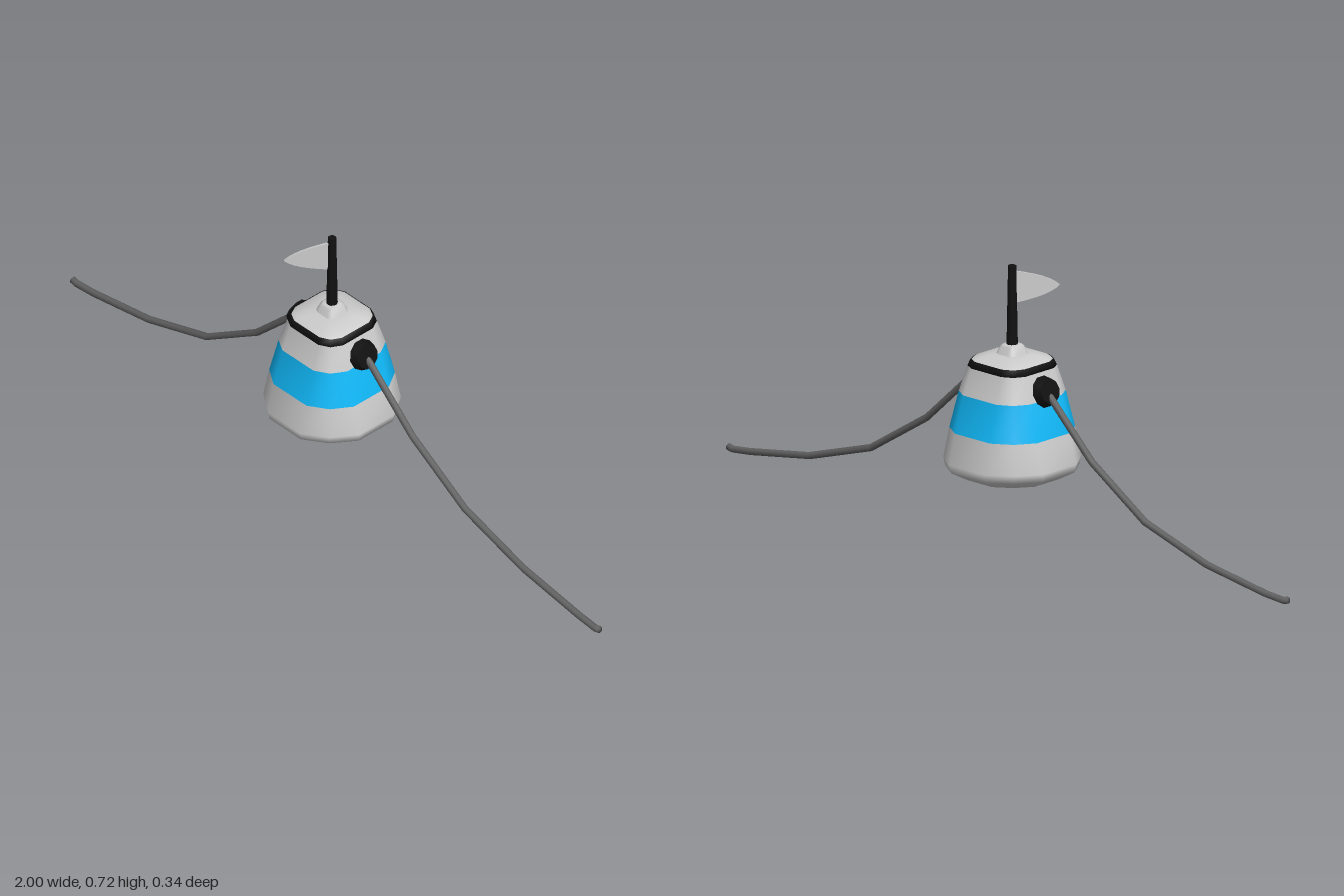
import * as THREE from 'three';

const mat = (color) => new THREE.MeshStandardMaterial({ color });
const grey = mat(0xcccccc), blue = mat(0x10b8f8), black = mat(0x111111), ropeGrey = mat(0x626262);
const CX = -0.015; // the body sits slightly off centre between its ropes

// Skin over a list of closed rings of points
function loft(rings) {
  const n = rings[0].length, index = [];
  for (let i = 0; i < rings.length - 1; i++) {
    for (let j = 0; j < n; j++) {
      const k = (j + 1) % n;
      const a = i * n + j, b = i * n + k, c = a + n, d = b + n;
      index.push(a, c, b, b, c, d);
    }
  }
  const g = new THREE.BufferGeometry().setFromPoints(rings.flat());
  g.setIndex(index);
  g.computeVertexNormals();
  return g;
}

// Twelve-sided rounded square, squarer towards the top
function bodyRing([half, y]) {
  const s = THREE.MathUtils.clamp((y - 0.2) / 0.26, 0, 1);
  const flat = half * (0.36 + 0.18 * s), corner = half * (0.74 + 0.1 * s);
  const ring = [];
  for (let q = 0; q < 4; q++) {
    const c = Math.round(Math.cos(q * Math.PI / 2)), n = Math.round(Math.sin(q * Math.PI / 2));
    for (const [x, z] of [[half, -flat], [half, flat], [corner, corner]]) {
      ring.push(new THREE.Vector3(CX + x * c - z * n, y, x * n + z * c));
    }
  }
  return ring;
}

// Round-sectioned rope along a path in the x-y plane
function ropeGeometry(path, radius, sides = 8) {
  const pts = path.map(([x, y]) => new THREE.Vector3(x, y, 0));
  const z = new THREE.Vector3(0, 0, 1);
  const rings = pts.map((p, i) => {
    const t = pts[Math.min(i + 1, pts.length - 1)].clone().sub(pts[Math.max(i - 1, 0)]).normalize();
    const v = z.clone().cross(t);
    return Array.from({ length: sides }, (_, j) => {
      const a = j / sides * Math.PI * 2;
      return p.clone().addScaledVector(z, radius * Math.cos(a)).addScaledVector(v, radius * Math.sin(a));
    });
  });
  const cap = (p) => Array.from({ length: sides }, () => p.clone());
  return loft([cap(pts[0]), ...rings, cap(pts[pts.length - 1])]);
}

export function createModel() {
  const model = new THREE.Group();
  const add = (name, geometry, material) => {
    const m = new THREE.Mesh(geometry, material);
    m.name = name;
    model.add(m);
    return m;
  };

  // Body sections as [half width, height], bottom to top
  const sections = [
    ['lowerHull', grey, [[0, 0.152], [0.065, 0.153], [0.122, 0.158], [0.166, 0.183], [0.17, 0.205], [0.149, 0.286]]],
    ['blueBand', blue, [[0.149, 0.286], [0.121, 0.384]]],
    ['upperHull', grey, [[0.121, 0.384], [0.098, 0.453]]],
    ['blackCollar', black, [[0.085, 0.453], [0.098, 0.453], [0.091, 0.47], [0.08, 0.47]]],
    ['topShoulder', grey, [[0.089, 0.47], [0.08, 0.476], [0.055, 0.484], [0.034, 0.486]]],
    ['mastBase', grey, [[0.035, 0.485], [0.026, 0.506], [0.02, 0.51], [0, 0.511]]],
  ];
  for (const [name, material, profile] of sections) add(name, loft(profile.map(bodyRing)), material);

  // Mast
  const mast = add('mast', new THREE.CylinderGeometry(0.011, 0.015, 0.215, 10), black);
  mast.position.set(CX, 0.615, 0);

  // Pointed pennant, swung forward and to the right
  const s = new THREE.Shape();
  s.moveTo(0, 0.709);
  s.quadraticCurveTo(0.1, 0.69, 0.126, 0.663);
  s.quadraticCurveTo(0.1, 0.635, 0, 0.62);
  s.closePath();
  const pennantGeometry = new THREE.ExtrudeGeometry(s, { depth: 0.006, bevelEnabled: false, curveSegments: 6 });
  pennantGeometry.translate(0, 0, -0.003);
  const pennant = add('pennant', pennantGeometry, grey);
  pennant.position.x = CX;
  pennant.rotation.y = Math.atan2(-0.83, -0.56);

  // Rope sockets, square to the sloping side walls
  for (const side of [-1, 1]) {
    const socket = add(side > 0 ? 'leftSocket' : 'rightSocket',
      new THREE.CylinderGeometry(0.034, 0.045, 0.03, 10), black);
    socket.position.set(CX + side * 0.122, 0.406, 0);
    socket.rotation.z = -side * (Math.PI / 2 - 0.28);
  }

  // Sagging ropes
  add('leftRope', ropeGeometry([[0.1, 0.412], [0.13, 0.392], [0.29, 0.245], [0.49, 0.12], [0.71, 0.051],
    [0.92, 0.017], [0.985, 0.01], [1, 0.014]], 0.0095), ropeGrey);
  add('rightRope', ropeGeometry([[-0.13, 0.412], [-0.16, 0.386], [-0.3, 0.25], [-0.49, 0.128], [-0.71, 0.06],
    [-0.92, 0.027], [-0.985, 0.022], [-1, 0.026]], 0.0095), ropeGrey);

  return model;
}
